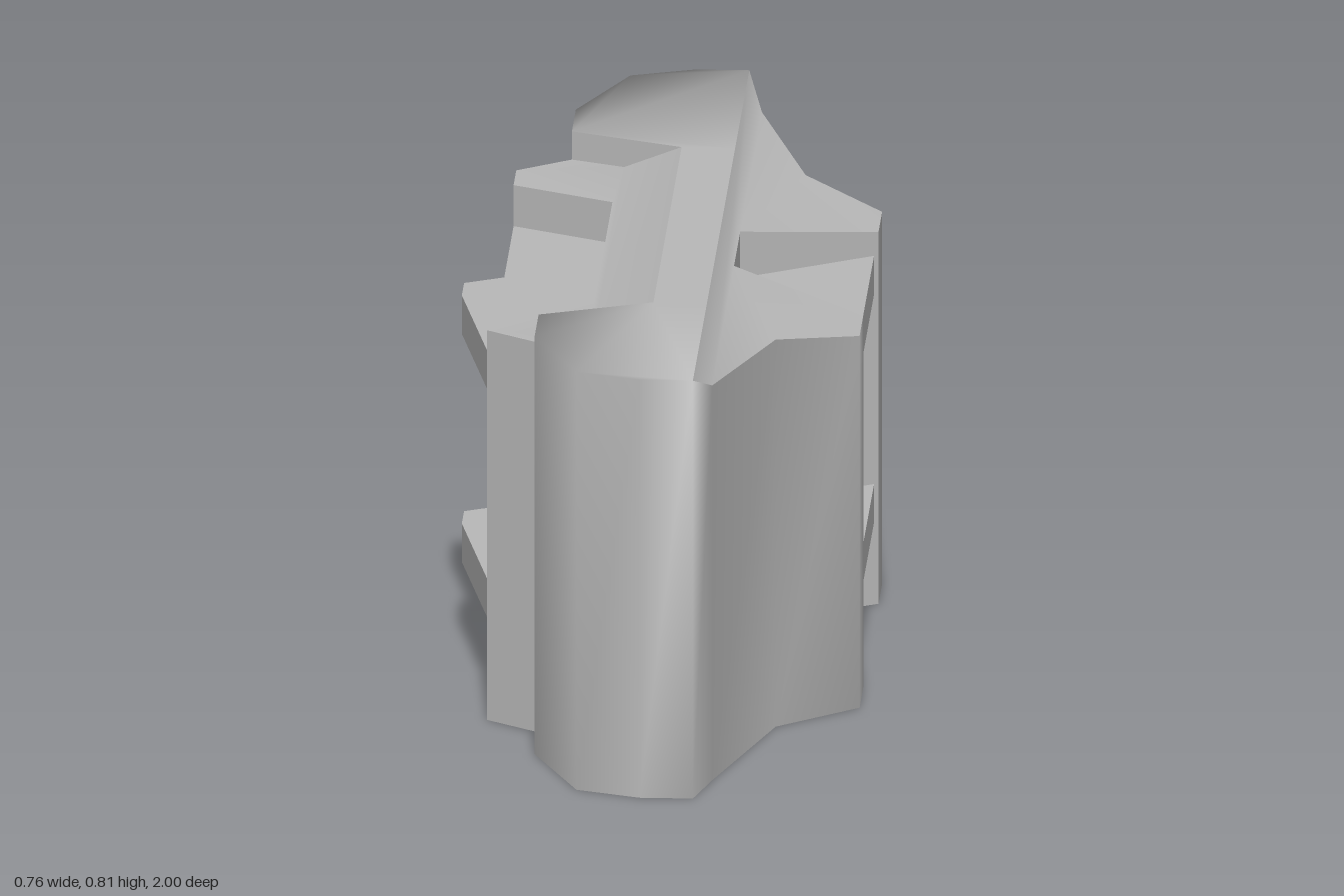
import * as THREE from 'three';
import { mergeGeometries, mergeVertices } from 'three/addons/utils/BufferGeometryUtils.js';

const grey = new THREE.MeshStandardMaterial({ color: 0xb8b8b8, side: THREE.DoubleSide });
grey.name = 'plain grey';

const TOP = 0.815, LOW = 0.76, EDGE = 0.725;

// Points are [x, y, z]; mirrored front to back with the order reversed
const mirror = (pts) => pts.map(([x, y, z]) => [x, y, -z]).reverse();

function fromTriangles(tris) {
  const g = new THREE.BufferGeometry();
  g.setAttribute('position', new THREE.Float32BufferAttribute(tris.flat(2), 3));
  return g;
}

// Upward-facing sheet over a plan outline
function sheet(pts) {
  const plan = pts.map(([x, , z]) => new THREE.Vector2(x, z));
  return fromTriangles(THREE.ShapeUtils.triangulateShape(plan, []).map((face) => {
    const [a, b, c] = face.map((i) => pts[i]);
    const up = (b[2] - a[2]) * (c[0] - a[0]) - (b[0] - a[0]) * (c[2] - a[2]);
    return up > 0 ? [a, b, c] : [a, c, b];
  }));
}

// Upright wall below a line of points, down to y = base(i)
function wall(pts, base = () => 0) {
  const tris = [];
  for (let i = 0; i < pts.length - 1; i++) {
    const a = pts[i], b = pts[i + 1];
    const a0 = [a[0], base(i), a[2]], b0 = [b[0], base(i + 1), b[2]];
    tris.push([a0, b0, b], [a0, b, a]);
  }
  return fromTriangles(tris);
}

function smooth(...parts) {
  const g = mergeVertices(mergeGeometries(parts));
  g.computeVertexNormals();
  return g;
}

function flat(g) {
  g.computeVertexNormals();
  return g;
}

// Horizontal plate from a plan outline of [x, z]
function plate(outline, thickness) {
  const shape = new THREE.Shape(outline.map(([x, z]) => new THREE.Vector2(x, -z)));
  return new THREE.ExtrudeGeometry(shape, { depth: thickness, bevelEnabled: false }).rotateX(-Math.PI / 2);
}

export function createModel() {
  const group = new THREE.Group();
  const add = (name, geometry, y = 0) => {
    const mesh = new THREE.Mesh(geometry, grey);
    mesh.name = name;
    mesh.position.y = y;
    group.add(mesh);
  };

  // Rounded ends running into the flared left side
  const lobe = [[-0.21, TOP, 0.59], [-0.21, TOP, 0.73], [-0.12, TOP, 0.955], [0, TOP, 1], [0.1, TOP, 1]];
  const flare = [[0.13, 0.77, 0.88], [0.23, 0.755, 0.53], [0.38, EDGE, 0.4], [0.38, EDGE, 0.27]];
  const lobeTop = [...lobe, [0.1, TOP, 0.5], [0, TOP, 0.5]];
  const step = [[0, TOP, 0.5], [-0.11, TOP, 0.547], [-0.21, TOP, 0.59]];
  for (const [name, side] of [['front', (p) => p], ['back', mirror]]) {
    add(name + 'End', smooth(sheet(side(lobeTop)), wall(side([...lobe, ...flare]))));
    const foot = name === 'front' ? [TOP, LOW, LOW] : [LOW, LOW, TOP];
    add(name + 'Step', flat(wall(side(step), (i) => foot[i])));
  }

  // Flat spine and the sloping roof on the left side
  add('spine', flat(sheet([[0, TOP, 0.5], [0.1, TOP, 0.5], [0.1, TOP, -0.5], [0, TOP, -0.5]])));
  const roofHalf = [[0.1, TOP, 1], ...flare, [0.13, 0.77, 0.11]];
  add('leftRoof', smooth(sheet([...roofHalf, ...mirror(roofHalf)])));

  // Recess in the left side
  const recessHalf = [[0.38, EDGE, 0.27], [0.13, 0.77, 0.11]];
  add('leftRecess', flat(wall([...recessHalf, ...mirror(recessHalf)])));

  // Lower right side with its recess
  const rightHalf = [[-0.12, LOW, 0.32], [-0.31, LOW, 0.42], [-0.31, LOW, 0.515], [-0.21, LOW, 0.59]];
  const rightLine = [...mirror(rightHalf), ...rightHalf];
  add('rightSide', flat(wall(rightLine)));
  const foot = [[-0.11, LOW, 0.547], [-0.11, LOW, -0.547]];
  add('rightRoof', smooth(
    sheet([...rightLine, ...foot]),
    sheet([[0, TOP, -0.5], [0, TOP, 0.5], ...foot]),
  ));

  // Two plates in each recess, the right ones with a pointed lug
  const leftPlan = [[0.13, 0.11], [0.372, 0.27], [0.372, -0.27], [0.13, -0.11]];
  const rightPlan = [[-0.12, -0.32], [-0.31, -0.42], [-0.31, -0.09], [-0.383, -0.05],
    [-0.383, 0.03], [-0.31, 0.42], [-0.12, 0.32]];
  for (const [level, y] of [['lower', 0.16], ['upper', 0.605]]) {
    add(level + 'LeftPlate', plate(leftPlan, 0.075), y);
    add(level + 'RightPlate', plate(rightPlan, 0.075), y);
  }
  return group;
}
